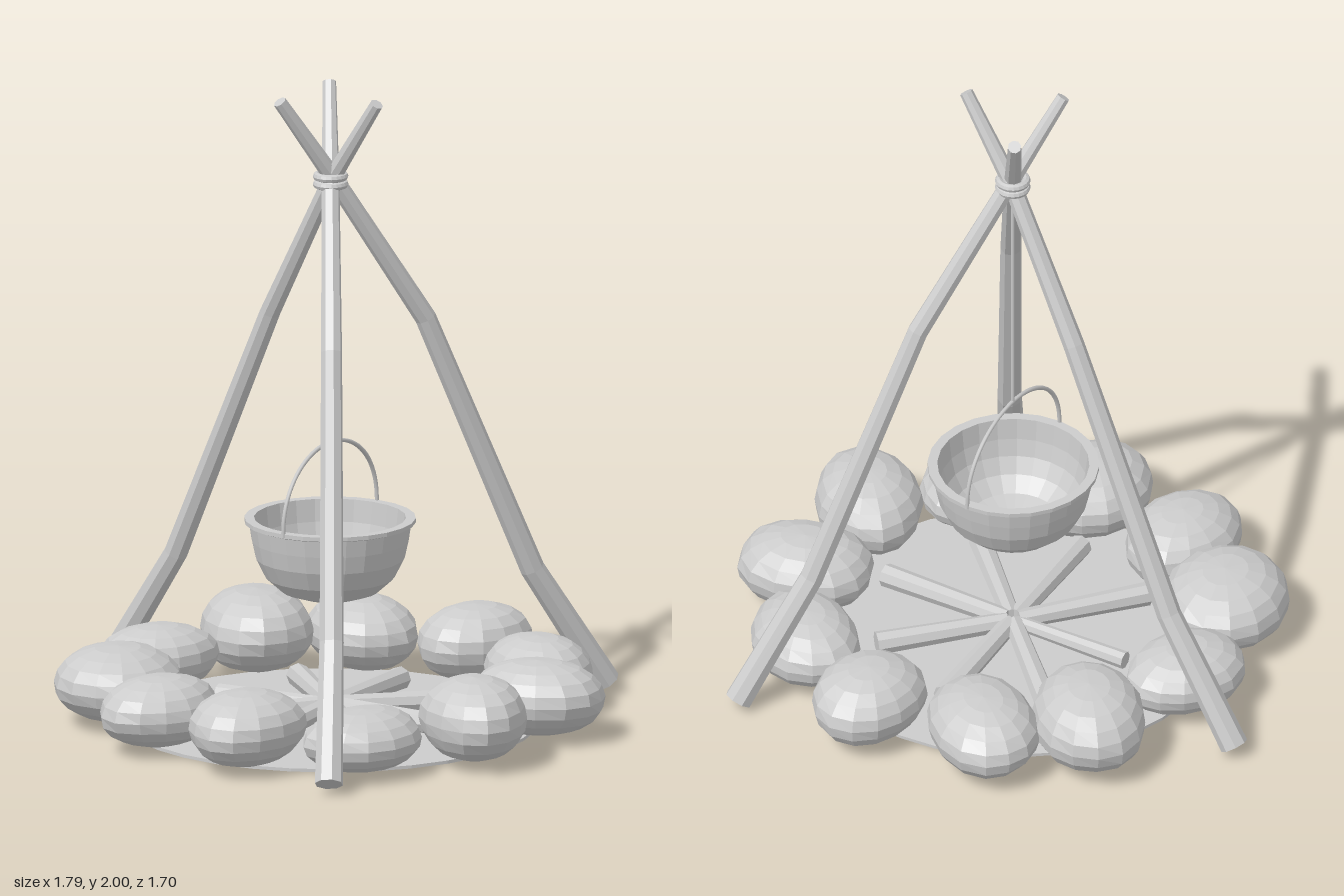
import * as THREE from 'three';

const CX = 0.045, CZ = 0.005;
const material = new THREE.MeshStandardMaterial({ color: 0xcccccc, flatShading: true, side: THREE.DoubleSide });
const smooth = new THREE.MeshStandardMaterial({ color: 0xcccccc });
const v = (x, y, z) => new THREE.Vector3(x, y, z);

function add(parent, name, geometry, mat = material) {
  const mesh = new THREE.Mesh(geometry, mat);
  mesh.name = name;
  parent.add(mesh);
  return mesh;
}

// Tapering pole: rings of vertices along a bent path of [x, y, z, radius]
function poleGeometry(path, sides = 8) {
  const pos = [], index = [];
  const pts = path.map(p => v(p[0], p[1], p[2]));
  pts.forEach((p, i) => {
    const dir = pts[Math.min(i + 1, pts.length - 1)].clone().sub(pts[Math.max(i - 1, 0)]).normalize();
    const q = new THREE.Quaternion().setFromUnitVectors(v(0, 1, 0), dir);
    for (let s = 0; s < sides; s++) {
      const a = s / sides * Math.PI * 2, r = path[i][3];
      const c = v(Math.cos(a) * r, 0, Math.sin(a) * r).applyQuaternion(q).add(p);
      pos.push(c.x, c.y, c.z);
      const t = (s + 1) % sides, b = i * sides;
      if (i < pts.length - 1) index.push(b + s, b + sides + s, b + t, b + t, b + sides + s, b + sides + t);
    }
  });
  const last = (pts.length - 1) * sides;
  for (let s = 1; s < sides - 1; s++) index.push(0, s, s + 1, last, last + s + 1, last + s);
  const g = new THREE.BufferGeometry();
  g.setAttribute('position', new THREE.Float32BufferAttribute(pos, 3));
  g.setIndex(index);
  g.computeVertexNormals();
  return g;
}

// Rounded river stone: a sphere with gentle lumps, flattened underneath
function stoneGeometry(a, b, h, seed) {
  const g = new THREE.SphereGeometry(1, 14, 10);
  const p = g.attributes.position;
  for (let i = 0; i < p.count; i++) {
    const x = p.getX(i), y = p.getY(i), z = p.getZ(i);
    const k = 1 + 0.035 * Math.sin(3 * x + seed * 1.7) * Math.cos(2.5 * z + seed) + 0.025 * Math.sin(4 * z + 2 * y + seed * 2.3);
    const fill = Math.pow(Math.max(1 - y * y, 0), -0.06 * (Math.abs(y) < 0.99 ? 1 : 0));
    p.setXYZ(i, x * k * a * fill, y * h, z * k * b * fill);
  }
  g.computeVertexNormals();
  return g;
}

export function createModel() {
  const model = new THREE.Group();
  model.name = 'campfireWithCookingPot';

  // Ash bed
  add(model, 'ashBed', new THREE.CylinderGeometry(0.64, 0.64, 0.01, 32)).position.set(CX, 0.006, CZ);

  // Ring of stones: x, z, long half, short half, yaw in degrees, top height
  const stones = [
    [0.14, -0.66, 0.20, 0.168, 95, 0.25],
    [-0.23, -0.59, 0.225, 0.165, 35, 0.24],
    [-0.49, -0.39, 0.23, 0.18, 50, 0.27],
    [-0.595, 0.0, 0.20, 0.16, 105, 0.22],
    [-0.495, 0.37, 0.23, 0.195, 75, 0.245],
    [-0.21, 0.575, 0.21, 0.17, 95, 0.23],
    [0.15, 0.63, 0.21, 0.172, 90, 0.245],
    [0.485, 0.49, 0.215, 0.163, 95, 0.205],
    [0.69, 0.185, 0.215, 0.168, 45, 0.27],
    [0.68, -0.185, 0.22, 0.172, -15, 0.245],
    [0.48, -0.495, 0.21, 0.165, 30, 0.23],
  ];
  const ring = new THREE.Group();
  ring.name = 'stoneRing';
  model.add(ring);
  stones.forEach(([x, z, a, b, yaw, top], i) => {
    const h = (top - 0.015) / 2;
    const m = add(ring, 'stone', stoneGeometry(a, b, h, i + 1));
    m.position.set(x, 0.015 + h, z);
    m.rotation.y = -yaw * Math.PI / 180;
  });

  // Firewood laid like spokes
  const logs = new THREE.Group();
  logs.name = 'firewood';
  model.add(logs);
  const ends = [[0.015, -0.43], [0.34, -0.31], [0.51, 0.005], [0.36, 0.31],
    [0.09, 0.46], [-0.22, 0.36], [-0.35, 0.03], [-0.27, -0.29]];
  ends.forEach(([x, z], i) => {
    const r = i === 6 ? 0.028 : 0.037;
    const ix = CX + (x - CX) * 0.04, iz = CZ + (z - CZ) * 0.04;
    add(logs, 'log', poleGeometry([[x, 0.045, z, r], [ix, 0.055, iz, r * 0.8]]));
  });

  // Three bent poles crossing at the lashing: foot, knee, middle, crossing, tip
  const poles = [
    [[-0.865, 0.035, -0.15, 0.044], [-0.61, 0.42, -0.125, 0.038], [-0.22, 1.25, -0.06, 0.033], [0.04, 1.71, 0.0, 0.028], [0.225, 1.985, 0.02, 0.021]],
    [[0.55, 0.035, 0.78, 0.044], [0.415, 0.42, 0.56, 0.038], [0.22, 1.25, 0.265, 0.033], [0.055, 1.71, 0.02, 0.028], [-0.055, 1.985, -0.14, 0.021]],
    [[0.545, 0.035, -0.775, 0.044], [0.415, 0.42, -0.56, 0.038], [0.22, 1.25, -0.26, 0.033], [0.055, 1.71, -0.01, 0.028], [-0.04, 1.985, 0.16, 0.021]],
  ];
  poles.forEach(p => add(model, 'tripodPole', poleGeometry(p)));

  // Rope lashing
  for (const y of [1.705, 1.73]) {
    const t = add(model, 'lashing', new THREE.TorusGeometry(0.042, 0.013, 8, 20));
    t.rotation.x = Math.PI / 2;
    t.position.set(CX, y, CZ);
  }

  // Hanging rope
  add(model, 'rope', new THREE.CylinderGeometry(0.006, 0.006, 0.83, 8), smooth).position.set(CX, 1.305, CZ);

  // Pot: outer wall, lip, inner wall
  const profile = [[0, 0.397], [0.09, 0.4], [0.15, 0.42], [0.2, 0.465], [0.23, 0.525], [0.242, 0.58], [0.25, 0.632],
    [0.264, 0.637], [0.264, 0.65], [0.234, 0.65], [0.226, 0.58], [0.212, 0.525], [0.185, 0.475], [0.14, 0.435], [0.08, 0.418], [0, 0.415]];
  add(model, 'pot', new THREE.LatheGeometry(profile.map(p => new THREE.Vector2(...p)), 24)).position.set(CX, 0, CZ + 0.003);

  // Pot handle
  const arc = [];
  for (let i = 0; i <= 16; i++) {
    const a = i / 16 * Math.PI;
    arc.push(v(CX, 0.64 + 0.248 * Math.pow(Math.sin(a), 0.9), CZ + 0.003 + 0.262 * Math.cos(a)));
  }
  add(model, 'potHandle', new THREE.TubeGeometry(new THREE.CatmullRomCurve3(arc), 40, 0.007, 6), smooth);

  return model;
}
